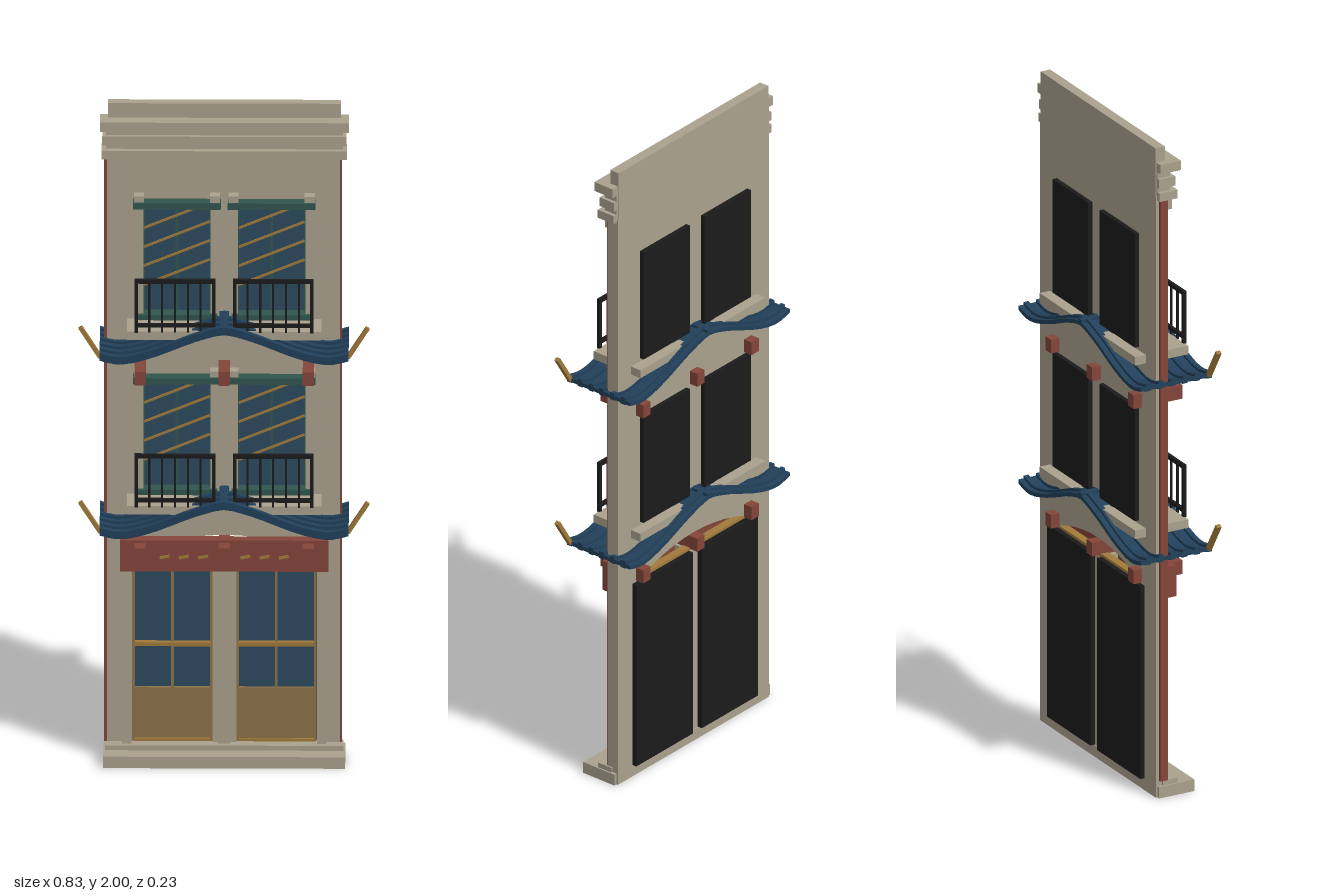
import * as THREE from 'three';

const mat = (name, color) => Object.assign(new THREE.MeshStandardMaterial({ color }), { name });
const M = {
  stone: mat('stone', 0xaaa18c),
  roof: mat('roofTile', 0x21405a),
  glass: mat('glass', 0x2d4a60),
  wood: mat('doorWood', 0x8c7148),
  gold: mat('goldTrim', 0xa07a3a),
  red: mat('redTimber', 0x84453a),
  iron: mat('blackIron', 0x1b1b1c),
  green: mat('greenTrim', 0x30564d),
};

// Box given by its minimum and maximum corners
function box(parent, name, m, x0, x1, y0, y1, z0, z1) {
  const mesh = new THREE.Mesh(new THREE.BoxGeometry(x1 - x0, y1 - y0, z1 - z0), m);
  mesh.position.set((x0 + x1) / 2, (y0 + y1) / 2, (z0 + z1) / 2);
  mesh.name = name;
  parent.add(mesh);
  return mesh;
}

// Straight bar between two points in the xy plane
function bar(parent, name, m, xa, ya, xb, yb, z, t, d = t) {
  const mesh = new THREE.Mesh(new THREE.BoxGeometry(Math.hypot(xb - xa, yb - ya), t, d), m);
  mesh.position.set((xa + xb) / 2, (ya + yb) / 2, z);
  mesh.rotation.z = Math.atan2(yb - ya, xb - xa);
  mesh.name = name;
  parent.add(mesh);
}

function group(parent, name, y = 0) {
  const g = new THREE.Group();
  g.name = name;
  g.position.y = y;
  parent.add(g);
  return g;
}

// Main wall with four window holes and an arched door opening
function wall(parent) {
  const s = new THREE.Shape();
  s.moveTo(-0.335, 0).lineTo(0.335, 0).lineTo(0.335, 1.85).lineTo(-0.335, 1.85).closePath();
  for (const y of [0.82, 1.355]) for (const x of [-0.235, 0.035]) {
    const h = new THREE.Path();
    h.moveTo(x, y).lineTo(x, y + 0.35).lineTo(x + 0.2, y + 0.35).lineTo(x + 0.2, y).closePath();
    s.holes.push(h);
  }
  const door = new THREE.Path();
  door.moveTo(-0.27, 0.035).lineTo(-0.27, 0.62).quadraticCurveTo(0, 0.745, 0.27, 0.62);
  door.lineTo(0.27, 0.035).closePath();
  s.holes.push(door);
  const geo = new THREE.ExtrudeGeometry(s, { depth: 0.038, bevelEnabled: false, curveSegments: 12 });
  const mesh = new THREE.Mesh(geo, M.stone);
  mesh.position.z = -0.055;
  mesh.name = 'wall';
  parent.add(mesh);
}

// Wavy roof: one thin curved sheet with raised ribs running across it
const wave = new THREE.SplineCurve([
  [-0.355, 1.278], [-0.31, 1.267], [-0.26, 1.271], [-0.19, 1.292], [-0.11, 1.325], [-0.05, 1.346], [0, 1.357],
  [0.05, 1.346], [0.11, 1.325], [0.19, 1.292], [0.26, 1.271], [0.31, 1.267], [0.355, 1.278],
].map(p => new THREE.Vector2(...p))).getPoints(24);

function roofStrip(parent, name, z0, z1, low, high) {
  const pts = [
    ...wave.map(p => new THREE.Vector2(p.x, p.y + low)),
    ...wave.map(p => new THREE.Vector2(p.x, p.y + high)).reverse(),
  ];
  const geo = new THREE.ExtrudeGeometry(new THREE.Shape(pts), { depth: z1 - z0, bevelEnabled: false });
  const mesh = new THREE.Mesh(geo, M.roof);
  mesh.position.z = z0;
  mesh.name = name;
  parent.add(mesh);
}

function roof(parent, y) {
  const g = group(parent, 'wavyRoof', y);
  roofStrip(g, 'roofSheet', -0.115, 0.115, -0.008, 0.004);
  for (let i = 0; i < 6; i++) {
    const z = -0.09 + i * 0.04;
    roofStrip(g, 'roofRib', z - 0.008, z + 0.008, -0.011, 0.012);
  }
  // ridge cap at the peak and upturned horns at the front corners
  box(g, 'ridgeCap', M.roof, -0.01, 0.01, 1.35, 1.368, -0.115, 0.115);
  for (const s of [-1, 1]) bar(g, 'roofHorn', M.gold, s * 0.353, 1.275, s * 0.41, 1.366, 0.108, 0.012, 0.014);
}

function railing(parent, x0, x1) {
  const g = group(parent, 'railing');
  box(g, 'topRail', M.iron, x0, x1, 1.492, 1.504, 0.079, 0.09);
  box(g, 'bottomRail', M.iron, x0, x1, 1.358, 1.368, 0.079, 0.09);
  for (let i = 0; i < 7; i++) {
    const x = x0 + 0.005 + (x1 - x0 - 0.01) * i / 6, w = i % 6 ? 0.003 : 0.005;
    box(g, 'baluster', M.iron, x - w, x + w, 1.342, 1.495, 0.085 - w, 0.085 + w);
  }
}

function windowUnit(parent, s) {
  const g = group(parent, 'window');
  const x0 = s > 0 ? 0.035 : -0.235, x1 = x0 + 0.2, c = x0 + 0.1;
  box(g, 'glass', M.glass, x0, x1, 1.355, 1.705, -0.055, -0.034);
  box(g, 'backPanel', M.iron, x0 - 0.003, x1 + 0.003, 1.355, 1.705, -0.069, -0.055);
  box(g, 'mullion', M.green, c - 0.004, c + 0.004, 1.36, 1.7, -0.034, -0.026);
  for (const x of [x0, x1 - 0.008]) box(g, 'sash', M.green, x, x + 0.008, 1.36, 1.7, -0.034, -0.024);
  // slanting gold lattice
  for (let i = 0; i < 4; i++) {
    const y = 1.445 + i * 0.058;
    bar(g, 'lattice', M.gold, x0 + 0.006, y, x1 - 0.006, y + 0.078, -0.024, 0.006);
  }
  // stone surround, lintel and sill
  for (const x of [x0 - 0.021, x1 - 0.004]) {
    box(g, 'jamb', M.stone, x, x + 0.025, 1.345, 1.48, -0.02, 0);
    box(g, 'jamb', M.stone, x, x + 0.025, 1.48, 1.70, -0.02, 0.01);
    box(g, 'jambCap', M.stone, x - 0.002, x + 0.027, 1.70, 1.73, -0.02, 0.015);
  }
  box(g, 'lintel', M.green, x0 - 0.025, x1 + 0.025, 1.692, 1.711, -0.03, 0.021);
  box(g, 'windowSill', M.green, x0 - 0.015, x1 + 0.015, 1.35, 1.366, -0.03, 0.012);
  railing(g, s > 0 ? 0.025 : -0.255, s > 0 ? 0.255 : -0.025);
}

function door(parent, s) {
  const g = group(parent, 'door');
  const x0 = s > 0 ? 0.02 : -0.27, x1 = x0 + 0.25, c = s * 0.148;
  box(g, 'backPanel', M.iron, x0, x1, 0.037, 0.63, -0.069, -0.054);
  box(g, 'glass', M.glass, x0, x1, 0.037, 0.628, -0.054, -0.036);
  box(g, 'lowerPanel', M.wood, c - 0.11, c + 0.11, 0.055, 0.212, -0.036, -0.026);
  box(g, 'middleRail', M.gold, c - 0.11, c + 0.11, 0.34, 0.352, -0.036, -0.02);
  box(g, 'mullion', M.wood, c - 0.004, c + 0.004, 0.21, 0.62, -0.036, -0.025);
  for (const x of [c - 0.115, c + 0.107]) box(g, 'stile', M.wood, x, x + 0.008, 0.05, 0.62, -0.036, -0.022);
  box(g, 'bottomRail', M.gold, c - 0.11, c + 0.11, 0.05, 0.058, -0.036, -0.02);
}

export function createModel() {
  const root = new THREE.Group();
  root.name = 'townhouseFacade';
  wall(root);

  // Base, parapet and stepped cornice
  box(root, 'doorstep', M.stone, -0.345, 0.345, 0, 0.035, -0.05, 0.066);
  box(root, 'upperStep', M.stone, -0.34, 0.34, 0.035, 0.05, -0.035, 0.015);
  box(root, 'parapet', M.stone, -0.332, 0.332, 1.85, 2, -0.055, -0.024);
  for (const [y0, y1, w, z] of [[1.84, 1.866, 0.35, 0.008], [1.866, 1.88, 0.338, -0.01], [1.88, 1.908, 0.348, 0.002],
    [1.908, 1.927, 0.338, -0.01], [1.927, 1.956, 0.355, 0.016]]) {
    box(root, 'corniceBand', M.stone, -w, w, y0, y1, -0.052, z);
  }
  for (let i = 0; i < 14; i++) {
    const x = -0.305 + i * 0.61 / 13;
    box(root, 'dentil', M.stone, x - 0.013, x + 0.013, 1.796, 1.84, -0.02, 0.008);
  }
  // Red strips along the wall edges
  box(root, 'edgeStrip', M.red, -0.343, -0.335, 0.05, 1.84, -0.045, -0.02);
  box(root, 'edgeStrip', M.red, 0.33, 0.335, 0.05, 1.84, -0.018, -0.015);

  // Upper floors
  for (const dy of [0, -0.535]) {
    const floor = group(root, 'upperFloor', dy);
    windowUnit(floor, -1);
    windowUnit(floor, 1);
    box(floor, 'balconyLedge', M.stone, -0.277, 0.277, 1.318, 1.344, -0.09, 0.084);
    roof(floor, 0);
  }
  // Timber beam ends
  for (const y of [0.635, 1.175]) for (const x of [-0.24, 0, 0.24]) {
    box(root, 'beam', M.red, x - 0.016, x + 0.016, y, y + 0.042, -0.083, 0.077);
  }

  // Ground floor
  door(root, -1);
  door(root, 1);
  box(root, 'centrePost', M.stone, -0.018, 0.018, 0.037, 0.63, -0.054, 0);
  for (const s of [-1, 1]) {
    box(root, 'innerJamb', M.stone, s * 0.026 - 0.008, s * 0.026 + 0.008, 0.05, 0.62, -0.035, -0.012);
    box(root, 'pilaster', M.stone, s * 0.278 - 0.014, s * 0.278 + 0.014, 0.05, 0.69, -0.02, 0);
  }
  box(root, 'doorHead', M.gold, -0.25, 0.25, 0.628, 0.638, -0.054, -0.03);
  box(root, 'fascia', M.red, -0.297, 0.297, 0.59, 0.685, 0, 0.034);
  for (const x of [-0.17, -0.115, -0.06, 0.06, 0.115, 0.17]) {
    bar(root, 'fasciaInlay', M.gold, x - 0.014, 0.632, x + 0.014, 0.638, 0.035, 0.008, 0.006);
  }
  return root;
}
